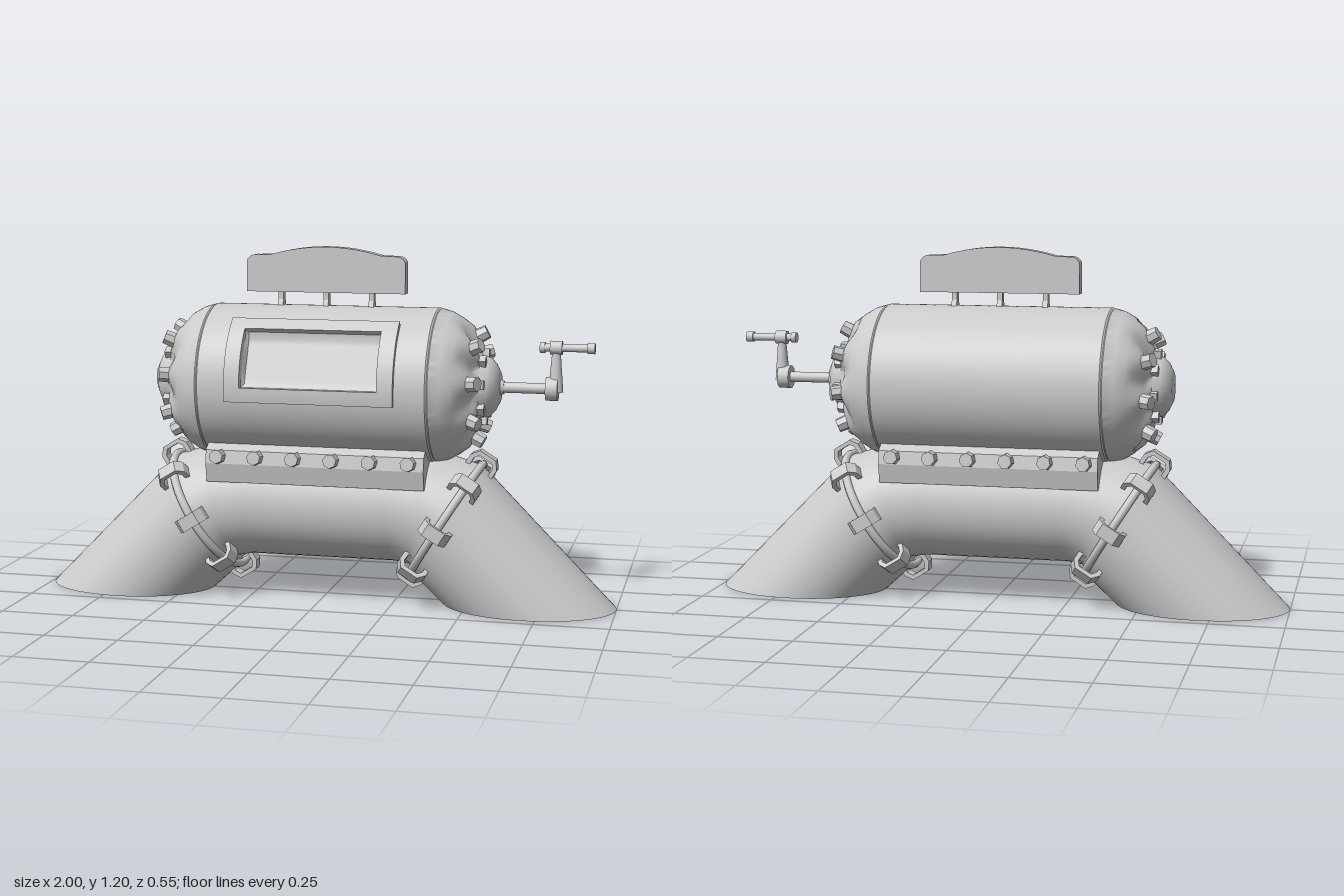
import * as THREE from 'three';
import { toCreasedNormals } from 'three/addons/utils/BufferGeometryUtils.js';

const AXIS_Y = 0.743, BARREL_R = 0.262;
const UP = new THREE.Vector3(0, 1, 0);
const rad = THREE.MathUtils.degToRad;
const grey = new THREE.MeshStandardMaterial({ color: 0xcccccc });
const flat = new THREE.MeshStandardMaterial({ color: 0xcccccc, flatShading: true });

function add(parent, name, geo, mat = grey) {
  const mesh = new THREE.Mesh(geo, mat);
  mesh.name = name;
  parent.add(mesh);
  return mesh;
}

// Rod between two points, with optional taper
function rod(parent, name, a, b, r0, r1 = r0, sides = 20, mat = grey) {
  const p = new THREE.Vector3(...a), q = new THREE.Vector3(...b);
  const dir = q.clone().sub(p);
  const m = add(parent, name, new THREE.CylinderGeometry(r1, r0, dir.length(), sides), mat);
  m.position.copy(p).lerp(q, 0.5);
  m.quaternion.setFromUnitVectors(UP, dir.normalize());
  return m;
}

// Hexagonal bolt head standing on a point
function bolt(parent, pos, dir) {
  const d = new THREE.Vector3(...dir).normalize();
  const m = add(parent, 'bolt', new THREE.CylinderGeometry(0.024, 0.027, 0.045, 7), flat);
  m.position.set(...pos).addScaledVector(d, 0.012);
  m.quaternion.setFromUnitVectors(UP, d);
}

// Skin through elliptical rings [cx, cy, dirX, dirY, radius, radiusZ]
function loft(rings, n = 48) {
  const pos = [], idx = [];
  rings.forEach(([cx, cy, dx, dy, r, rz], i) => {
    for (let j = 0; j <= n; j++) {
      const t = (j / n) * Math.PI * 2, c = Math.cos(t) * r;
      pos.push(cx + dx * c, cy + dy * c, rz * Math.sin(t));
      if (i < rings.length - 1 && j < n) {
        const a = i * (n + 1) + j, b = a + n + 1;
        idx.push(a, a + 1, b, a + 1, b + 1, b);
      }
    }
  });
  const g = new THREE.BufferGeometry();
  g.setAttribute('position', new THREE.Float32BufferAttribute(pos, 3));
  g.setIndex(idx);
  g.computeVertexNormals();
  return toCreasedNormals(g, 0.7);
}

// Extrude a (z, y) outline along x from x0 to x1
function extrudeX(shape, x0, x1) {
  return new THREE.ExtrudeGeometry(shape, { depth: x1 - x0, bevelEnabled: false, curveSegments: 20 })
    .rotateY(-Math.PI / 2).translate(x1, 0, 0);
}

const outline = pts => new THREE.Shape(pts.map(p => new THREE.Vector2(...p)));

// Drum with domed ends, fluted end faces and a recessed window
function barrelGeometry() {
  const end = [[0.6, 0], [0.597, 0.05], [0.582, 0.08], [0.562, 0.1], [0.537, 0.106], [0.53, 0.118],
    [0.522, 0.14], [0.513, 0.165], [0.492, 0.204], [0.465, 0.23], [0.43, 0.25], [0.395, 0.26],
    [0.391, 0.257], [0.386, BARREL_R]];
  const pts = end.map(([x, r]) => [-x, r]);
  for (const x of [-0.24, -0.225, 0, 0.225, 0.24]) pts.push([x, BARREL_R]);
  pts.push(...end.slice().reverse());
  const g = new THREE.LatheGeometry(pts.map(([x, r]) => new THREE.Vector2(r, x)), 96);
  g.rotateY(Math.PI).rotateZ(-Math.PI / 2);
  const p = g.attributes.position, mid = rad(23);
  for (let i = 0; i < p.count; i++) {
    const x = p.getX(i), y = p.getY(i), z = p.getZ(i);
    const r = Math.hypot(y, z), a = Math.atan2(y, z);
    if (Math.abs(x) < 0.23 && Math.abs(a - mid) < rad(21)) {
      const k = 0.232 / (r * Math.cos(a - mid));
      p.setXYZ(i, x, y * k, z * k);
    } else if (r > 0.11 && r < 0.21) {
      const wave = 0.01 * Math.cos(8 * (Math.atan2(y, -z) + rad(10)));
      p.setX(i, x + Math.sign(x) * wave);
    }
  }
  return toCreasedNormals(g, 0.6);
}

// Curved bar of the window frame
function frameBar(x0, x1, a0, a1) {
  const s = new THREE.Shape();
  s.absarc(0, 0, 0.28, rad(a0), rad(a1), false);
  s.absarc(0, 0, 0.235, rad(a1), rad(a0), true);
  return toCreasedNormals(extrudeX(s, x0, x1), 0.5);
}

// Open staple that bridges the pipe joint
function clampGeometry() {
  const s = outline([[-0.052, -0.02], [0.052, -0.02], [0.052, 0.018], [0.032, 0.045], [-0.032, 0.045], [-0.052, 0.018]]);
  s.holes.push(new THREE.Path([[-0.036, -0.012], [-0.036, 0.014], [-0.024, 0.031], [0.024, 0.031], [0.036, 0.014], [0.036, -0.012]]
    .map(p => new THREE.Vector2(...p))));
  return new THREE.ExtrudeGeometry(s, { depth: 0.046, bevelEnabled: false })
    .translate(0, 0, -0.023).rotateY(-Math.PI / 2).translate(0, 0.222, 0);
}

// Slanted leg pipe with its joint ring and clamps
function makeLeg(name, joint) {
  const leg = new THREE.Group();
  leg.name = name;
  add(leg, 'legPipe', loft([joint, [0.705, 0, 1, 0, 0.295, 0.215]]));
  const foot = add(leg, 'footFace', new THREE.CircleGeometry(1, 48).rotateX(Math.PI / 2));
  foot.scale.set(0.295, 1, 0.215);
  foot.position.set(0.705, 0.001, 0);

  const ring = new THREE.Group();
  ring.name = 'jointRing';
  const X = new THREE.Vector3(joint[2], joint[3], 0).normalize(), Y = new THREE.Vector3(0, 0, 1);
  ring.quaternion.setFromRotationMatrix(new THREE.Matrix4().makeBasis(X, Y, X.clone().cross(Y)));
  ring.position.set(joint[0], joint[1], 0);
  add(ring, 'gasket', new THREE.TorusGeometry(0.223, 0.014, 10, 56));
  for (let k = 0; k < 8; k++) add(ring, 'clamp', clampGeometry(), flat).rotation.z = k * Math.PI / 4;
  leg.add(ring);
  return leg;
}

export function createModel() {
  const model = new THREE.Group();
  model.name = 'crankDrumOnPipe';

  // Drum, window frame and end bolts
  const drum = new THREE.Group();
  drum.name = 'drum';
  drum.position.y = AXIS_Y;
  model.add(drum);
  add(drum, 'barrel', barrelGeometry());
  for (const [x0, x1, a0, a1] of [[-0.288, -0.235, -8.5, 55], [0.23, 0.284, -8.5, 55],
    [-0.235, 0.23, -8.5, 1.5], [-0.235, 0.23, 45, 55]]) {
    add(drum, 'windowFrame', frameBar(x0, x1, a0, a1));
  }
  for (const side of [-1, 1]) {
    for (let k = 0; k < 8; k++) {
      const a = rad(45 * k - 10), y = Math.sin(a), z = -Math.cos(a);
      bolt(drum, [side * 0.517, y * 0.17, z * 0.17], [side * 0.85, y * 0.45, z * 0.45]);
      const lug = add(drum, 'hubLug', new THREE.BoxGeometry(0.035, 0.04, 0.03));
      lug.position.set(side * 0.54, y * 0.108, z * 0.108);
      lug.rotation.x = Math.atan2(z, y);
    }
  }

  // Crank handle on the left end
  const crank = new THREE.Group();
  crank.name = 'crank';
  crank.position.y = AXIS_Y;
  model.add(crank);
  rod(crank, 'axleCollar', [0.58, 0, 0], [0.61, 0, 0], 0.035, 0.022);
  rod(crank, 'axle', [0.59, 0, 0], [0.76, 0, 0], 0.018);
  rod(crank, 'crankHub', [0.75, 0, 0], [0.79, 0, 0], 0.04);
  rod(crank, 'crankArm', [0.782, -0.01, 0], [0.782, 0.14, 0], 0.025, 0.013);
  rod(crank, 'handleCollar', [0.762, 0.138, 0], [0.802, 0.138, 0], 0.023);
  rod(crank, 'handle', [0.735, 0.138, 0], [0.9, 0.138, 0], 0.013);
  rod(crank, 'handleTip', [0.885, 0.138, 0], [0.91, 0.138, 0], 0.018);
  rod(crank, 'handleEnd', [0.728, 0.138, 0], [0.745, 0.138, 0], 0.018);

  // Blank sign plate on three flared posts
  const sign = new THREE.Shape();
  sign.moveTo(-0.278, 1.05);
  sign.lineTo(0.274, 1.05);
  sign.lineTo(0.274, 1.155);
  sign.quadraticCurveTo(0.262, 1.178, 0.24, 1.175);
  sign.lineTo(0.19, 1.177);
  sign.quadraticCurveTo(0, 1.232, -0.194, 1.177);
  sign.lineTo(-0.244, 1.175);
  sign.quadraticCurveTo(-0.266, 1.178, -0.278, 1.155);
  add(model, 'signPlate', new THREE.ExtrudeGeometry(sign, { depth: 0.046, bevelEnabled: false }).translate(0, 0, -0.023));
  const post = outline([[-0.028, 0.99], [0.028, 0.99], [0.013, 1.025], [0.012, 1.06], [-0.012, 1.06], [-0.013, 1.025]]);
  for (const x of [-0.16, -0.002, 0.156]) add(model, 'signPost', extrudeX(post, x - 0.009, x + 0.009));

  // Cross pipe with bent ends, and the two legs
  const joint = [0.42, 0.285, 0.53, 0.85, 0.22, 0.218];
  const half = [[0.25, 0.335, 0, 1, 0.2, 0.205], [0.35, 0.32, 0.25, 0.97, 0.2, 0.208], joint];
  const mirrored = half.map(([x, y, dx, ...rest]) => [-x, y, -dx, ...rest]).reverse();
  add(model, 'crossPipe', loft([...mirrored, ...half]));
  model.add(makeLeg('leftLeg', joint));
  const right = makeLeg('rightLeg', joint);
  right.rotation.y = Math.PI;
  model.add(right);

  // Saddle joining drum and pipe, bolted on both sides
  const saddle = outline([[0.195, 0.415], [0.208, 0.48], [0.2, 0.525], [0.165, 0.548],
    [-0.165, 0.548], [-0.2, 0.525], [-0.208, 0.48], [-0.195, 0.415]]);
  add(model, 'saddle', extrudeX(saddle, -0.375, 0.375));
  for (const s of [-1, 1]) {
    for (let i = 0; i < 6; i++) bolt(model, [-0.33 + i * 0.131, 0.505, s * 0.203], [0, 0.1, s]);
  }
  return model;
}
